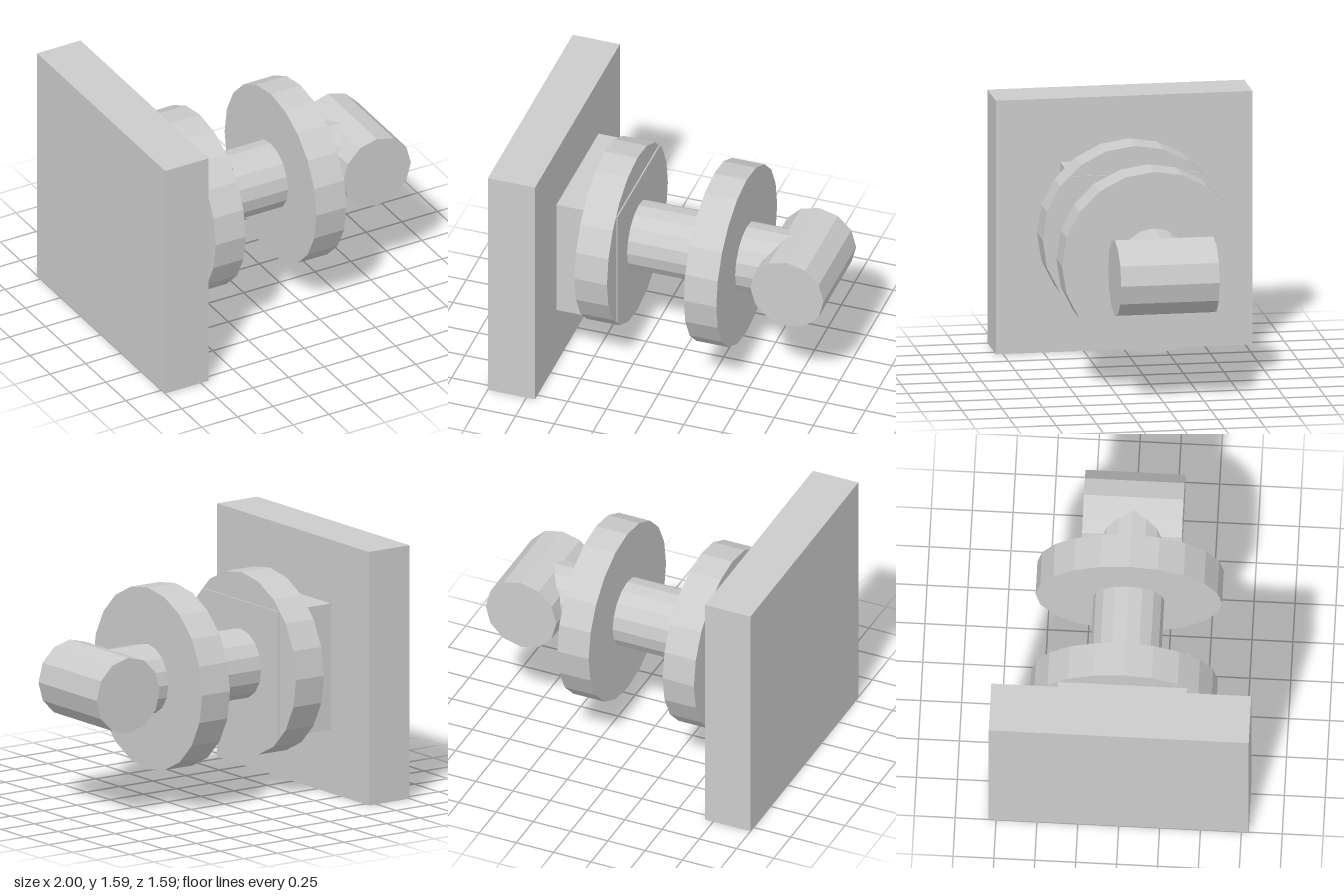
import * as THREE from 'three';

export function createModel() {
  const group = new THREE.Group();
  const material = new THREE.MeshStandardMaterial({ color: 0xcccccc, flatShading: true });
  const axisY = 0.795;

  const add = (name, geometry, x) => {
    const mesh = new THREE.Mesh(geometry, material);
    mesh.name = name;
    mesh.position.set(x, axisY, 0);
    group.add(mesh);
  };

  // Box spanning x0..x1 with a square face
  const slab = (name, x0, x1, size) =>
    add(name, new THREE.BoxGeometry(x1 - x0, size, size), (x0 + x1) / 2);

  // Faceted cylinder along x, spanning x0..x1
  const rod = (name, x0, x1, radius, sides) =>
    add(name, new THREE.CylinderGeometry(radius, radius, x1 - x0, sides).rotateZ(-Math.PI / 2), (x0 + x1) / 2);

  // Square mounting plate and boss
  slab('basePlate', -1, -0.695, 1.59);
  slab('mountBlock', -0.695, -0.3, 0.79);

  // Shaft with two collars
  rod('shaft', -0.695, 0.76, 0.217, 16);
  rod('innerDisc', -0.518, -0.308, 0.57, 20);
  rod('outerDisc', 0.188, 0.398, 0.57, 20);

  // Cross handle along z at the shaft's end
  add('crossHandle', new THREE.CylinderGeometry(0.237, 0.237, 0.61, 12).rotateX(Math.PI / 2), 0.763);

  return group;
}
